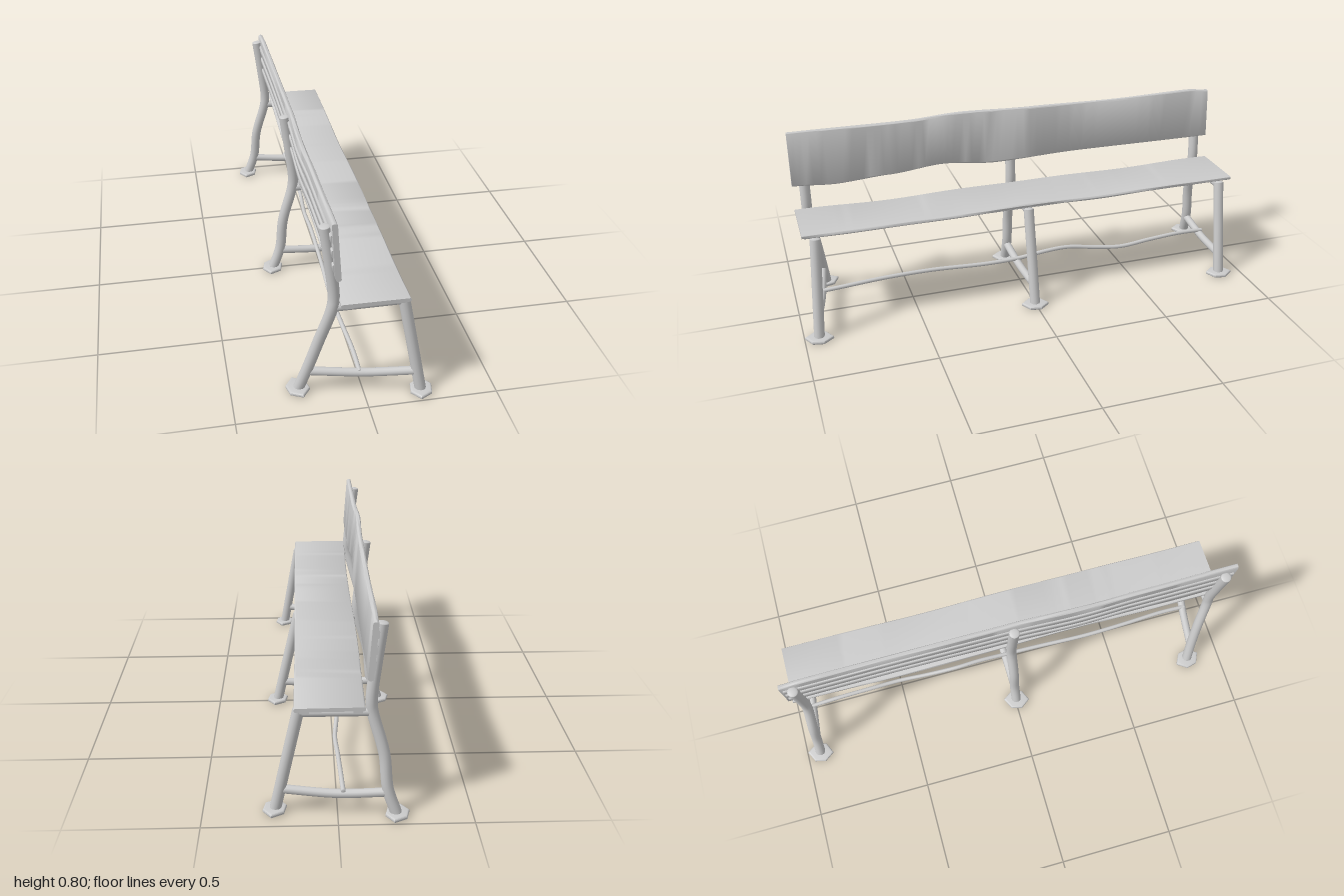
import * as THREE from 'three';
import { toCreasedNormals } from 'three/addons/utils/BufferGeometryUtils.js';

const material = new THREE.MeshStandardMaterial({ color: 0xcccccc });
const V = (x, y, z) => new THREE.Vector3(x, y, z);

function add(parent, name, geometry) {
  const mesh = new THREE.Mesh(geometry, material);
  mesh.name = name;
  parent.add(mesh);
  return mesh;
}

// Round log with slightly domed ends, following a smooth path
function log(parent, name, points, radius, segments = 24) {
  const curve = new THREE.CatmullRomCurve3(points, false, 'centripetal');
  const group = new THREE.Group();
  group.name = name;
  parent.add(group);
  add(group, name + 'Shaft', new THREE.TubeGeometry(curve, segments, radius, 14));
  for (const t of [0, 1]) {
    const out = curve.getTangentAt(t).multiplyScalar(t ? 1 : -1);
    const cap = add(group, name + 'End', new THREE.SphereGeometry(radius, 14, 4, 0, Math.PI * 2, 0, Math.PI / 2));
    cap.scale.y = 0.25;
    cap.position.copy(points[t ? points.length - 1 : 0]);
    cap.quaternion.setFromUnitVectors(V(0, 1, 0), out);
  }
}

// Smooth interpolation through [z, value] keys
function wave(keys) {
  return z => {
    let i = 0;
    while (i < keys.length - 2 && z > keys[i + 1][0]) i++;
    const [a, b] = [keys[i], keys[i + 1]];
    return THREE.MathUtils.lerp(a[1], b[1], THREE.MathUtils.smoothstep(z, a[0], b[0]));
  };
}

// Rounded plank running along z, bent by a rule acting on each vertex
function plank(parent, name, w, h, z0, z1, bend) {
  const r = Math.min(w, h) * 0.4, x = w / 2, y = h / 2;
  const s = new THREE.Shape();
  s.moveTo(-x + r, -y);
  s.lineTo(x - r, -y);
  s.absarc(x - r, -y + r, r, -Math.PI / 2, 0);
  s.absarc(x - r, y - r, r, 0, Math.PI / 2);
  s.absarc(-x + r, y - r, r, Math.PI / 2, Math.PI);
  s.absarc(-x + r, -y + r, r, Math.PI, Math.PI * 1.5);
  const g = new THREE.ExtrudeGeometry(s, { depth: z1 - z0, steps: 64, curveSegments: 4, bevelEnabled: false });
  g.translate(0, 0, z0);
  const p = g.attributes.position;
  for (let i = 0; i < p.count; i++) {
    const v = V().fromBufferAttribute(p, i);
    bend(v);
    p.setXYZ(i, v.x, v.y, v.z);
  }
  return add(parent, name, toCreasedNormals(g, 0.8));
}

// Six-sided foot plate with softened rim
function foot(parent, x, z, turn) {
  const s = new THREE.Shape();
  [[0, 0.05], [0.034, 0.02], [0.034, -0.022], [0, -0.05], [-0.034, -0.022], [-0.034, 0.02]]
    .forEach(([a, b], i) => (i ? s.lineTo(a, b) : s.moveTo(a, b)));
  const g = new THREE.ExtrudeGeometry(s, {
    depth: 0.004, bevelEnabled: true, bevelThickness: 0.006, bevelSize: 0.007, bevelSegments: 3,
  });
  g.rotateX(-Math.PI / 2);
  const mesh = add(parent, 'footPlate', toCreasedNormals(g, 0.6));
  mesh.position.set(x, 0.006, z);
  mesh.rotation.y = turn;
}

export function createModel() {
  const bench = new THREE.Group();
  bench.name = 'bench';

  // Three trestle frames: top z, rear foot x/z, front foot x/z
  const frames = [
    { z: -0.905, rx: -0.215, rz: -0.94, fx: 0.23, fz: -0.895 },
    { z: 0.005, rx: -0.215, rz: 0.005, fx: 0.235, fz: 0.005 },
    { z: 0.912, rx: -0.24, rz: 0.85, fx: 0.215, fz: 0.94 },
  ];
  for (const { z, rx, rz, fx, fz } of frames) {
    const frame = new THREE.Group();
    frame.name = 'legFrame';
    bench.add(frame);
    const at = t => THREE.MathUtils.lerp(rz, z, t);

    // Rear leg carries on upward as the back post
    log(frame, 'rearLegPost', [
      V(rx, 0.012, rz), V(rx + 0.032, 0.11, at(0.22)), V(-0.168, 0.25, at(0.55)),
      V(-0.125, 0.41, z), V(-0.12, 0.46, z), V(-0.134, 0.6, z), V(-0.154, 0.754, z),
    ], 0.022, 48);
    log(frame, 'frontLeg', [
      V(fx, 0.012, fz), V(THREE.MathUtils.lerp(fx, 0.14, 0.5), 0.22, THREE.MathUtils.lerp(fz, z, 0.5)),
      V(0.14, 0.425, z),
    ], 0.022);
    log(frame, 'seatBearer', [V(-0.12, 0.413, z), V(0.14, 0.413, z)], 0.017, 4);
    log(frame, 'lowerCrossbar', [
      V(rx + 0.028, 0.095, at(0.2)), V(0, 0.083, (rz + fz) / 2),
      V(fx - 0.018, 0.095, THREE.MathUtils.lerp(fz, z, 0.2)),
    ], 0.017);
    foot(frame, rx - 0.005, rz, 0.25 * Math.sign(z - 0.01));
    foot(frame, fx + 0.003, fz, -0.2);
  }

  // Crooked branch tying the crossbars together
  log(bench, 'stretcher', [
    [-0.02, 0.1, -0.93], [-0.015, 0.105, -0.8], [-0.01, 0.098, -0.65], [-0.005, 0.088, -0.5],
    [-0.015, 0.098, -0.38], [-0.025, 0.117, -0.24], [-0.02, 0.115, -0.12], [-0.018, 0.102, 0],
    [-0.02, 0.098, 0.15], [-0.03, 0.104, 0.4], [-0.025, 0.105, 0.6], [-0.015, 0.1, 0.78], [-0.015, 0.092, 0.9],
  ].map(p => V(...p)), 0.009, 90);

  // Seat board, gently undulating
  const seatLift = (x, z) => 0.444 + 0.003 * Math.sin(z * 6.5 + 1) + 0.002 * Math.sin(z * 11 + x * 14);
  plank(bench, 'seat', 0.255, 0.015, -0.955, 0.965, v => {
    v.y += seatLift(v.x, v.z);
    v.x += 0.028 + 0.003 * Math.sin(v.z * 5) * (v.x < 0 ? 1 : 0.4);
  });

  // Rails under the seat
  for (const x of [-0.07, 0.12]) {
    plank(bench, 'seatRail', 0.035, 0.012, -0.95, 0.955, v => { v.x += x; v.y += 0.434; });
  }

  // Backrest with wavy natural edges, leaning back
  const top = wave([[-0.955, 0.776], [-0.85, 0.786], [-0.5, 0.781], [-0.1, 0.788], [0.22, 0.796], [0.45, 0.786], [0.965, 0.791]]);
  const bottom = wave([[-0.955, 0.556], [-0.3, 0.562], [0.08, 0.552], [0.32, 0.572], [0.55, 0.556], [0.78, 0.545], [0.965, 0.557]]);
  const bow = wave([[-0.955, 0], [-0.5, 0.002], [0, 0], [0.3, -0.008], [0.55, -0.002], [0.965, 0]]);
  const lean = (y, z) => -0.112 - (y - 0.55) * 0.07 + bow(z);
  const H = 0.24;
  plank(bench, 'backrest', 0.021, H, -0.955, 0.965, v => {
    v.y = THREE.MathUtils.lerp(bottom(v.z), top(v.z), v.y / H + 0.5);
    v.x += lean(v.y, v.z);
  });

  // Slats behind the backrest
  for (const y of [0.605, 0.665, 0.725]) {
    plank(bench, 'backSlat', 0.012, 0.03, -0.945, 0.955, v => {
      v.y += y;
      v.x += lean(v.y, v.z) - 0.011;
    });
  }
  return bench;
}
